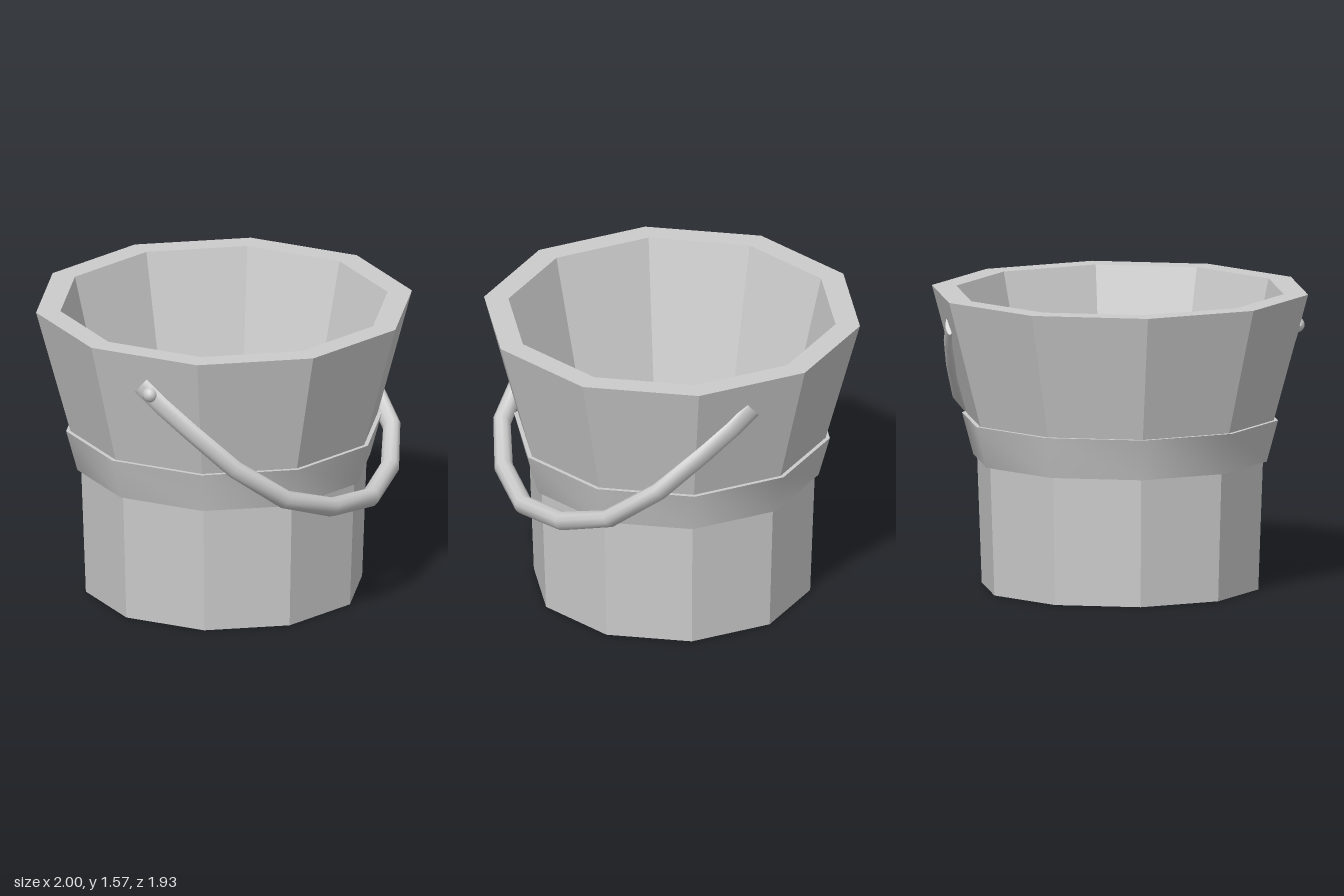
import * as THREE from 'three';
import { toCreasedNormals } from 'three/addons/utils/BufferGeometryUtils.js';

const SIDES = 10;
const CENTER_Z = -0.017;
const smooth = new THREE.MeshStandardMaterial({ color: 0xcccccc });
const flat = new THREE.MeshStandardMaterial({ color: 0xcccccc, flatShading: true });

// Ten-sided turned shape with a corner pointing along +x
function turned(profile) {
  const points = profile.map(([r, y]) => new THREE.Vector2(r, y));
  return new THREE.LatheGeometry(points, SIDES, Math.PI / 2);
}

function addMesh(group, name, geometry, material) {
  const mesh = new THREE.Mesh(geometry, material);
  mesh.name = name;
  group.add(mesh);
  return mesh;
}

// Swung bail: elliptical rings along half an oval, flattened toward both ends
function bailGeometry() {
  // [z, fraction of the swing, half thickness]
  const half = [
    [0.924, 0, 0.018], [0.912, 0.13, 0.022], [0.872, 0.3, 0.03], [0.8, 0.55, 0.037],
    [0.635, 0.79, 0.044], [0.35, 0.936, 0.05], [0, 1, 0.05],
  ];
  const path = [...half, ...half.slice(0, -1).reverse().map(([z, t, r]) => [-z, t, r])];
  const start = new THREE.Vector3(-0.025, 1.4, 0);
  const swing = new THREE.Vector3(0.885, -0.78, 0);
  const side = new THREE.Vector3(0.78, 0.885, 0).normalize();
  const centers = path.map(([z, t]) => start.clone().addScaledVector(swing, t).setZ(z - 0.003));
  const around = 10;
  const positions = [];
  const index = [];

  centers.forEach((c, i) => {
    const before = centers[Math.max(i - 1, 0)];
    const after = centers[Math.min(i + 1, centers.length - 1)];
    const tangent = after.clone().sub(before).normalize();
    const out = new THREE.Vector3().crossVectors(tangent, side);
    for (let j = 0; j < around; j++) {
      const a = (j / around) * Math.PI * 2;
      const p = c.clone()
        .addScaledVector(side, 0.053 * Math.cos(a))
        .addScaledVector(out, path[i][2] * Math.sin(a));
      positions.push(p.x, p.y, p.z);
    }
  });
  for (let i = 0; i < centers.length - 1; i++) {
    for (let j = 0; j < around; j++) {
      const a = i * around + j;
      const b = i * around + (j + 1) % around;
      index.push(a, a + around, b, b, a + around, b + around);
    }
  }
  // End caps
  const last = (centers.length - 1) * around;
  for (let j = 1; j < around - 1; j++) {
    index.push(0, j, j + 1, last, last + j + 1, last + j);
  }

  const geometry = new THREE.BufferGeometry();
  geometry.setAttribute('position', new THREE.Float32BufferAttribute(positions, 3));
  geometry.setIndex(index);
  // Make sure the faces look outward
  const v = (k) => new THREE.Vector3().fromArray(positions, k * 3);
  const normal = v(around).sub(v(0)).cross(v(1).sub(v(0)));
  if (normal.dot(v(0).sub(centers[0])) < 0) geometry.setIndex(index.reverse());
  return toCreasedNormals(geometry, 0.9);
}

export function createModel() {
  const model = new THREE.Group();
  model.name = 'bucket';

  // Staved body with a thick rim and a recessed floor
  const body = addMesh(model, 'body', turned([
    [0, 0], [0.735, 0], [0.76, 0.69], [1, 1.57],
    [0.87, 1.57], [0.66, 0.69], [0.64, 0.12], [0, 0.12],
  ]), flat);
  body.position.z = CENTER_Z;

  // Flared hoop around the waist
  const hoop = addMesh(model, 'hoop', toCreasedNormals(turned([
    [0.75, 0.68], [0.78, 0.68], [0.84, 0.9], [0.805, 0.9], [0.75, 0.68],
  ]), 0.8), smooth);
  hoop.position.z = CENTER_Z;

  // Swinging handle and its front pivot pin
  addMesh(model, 'handle', bailGeometry(), smooth);
  const pin = addMesh(model, 'pivotPin', new THREE.SphereGeometry(0.041, 10, 8), smooth);
  pin.position.set(0.03, 1.36, 0.925);

  return model;
}
